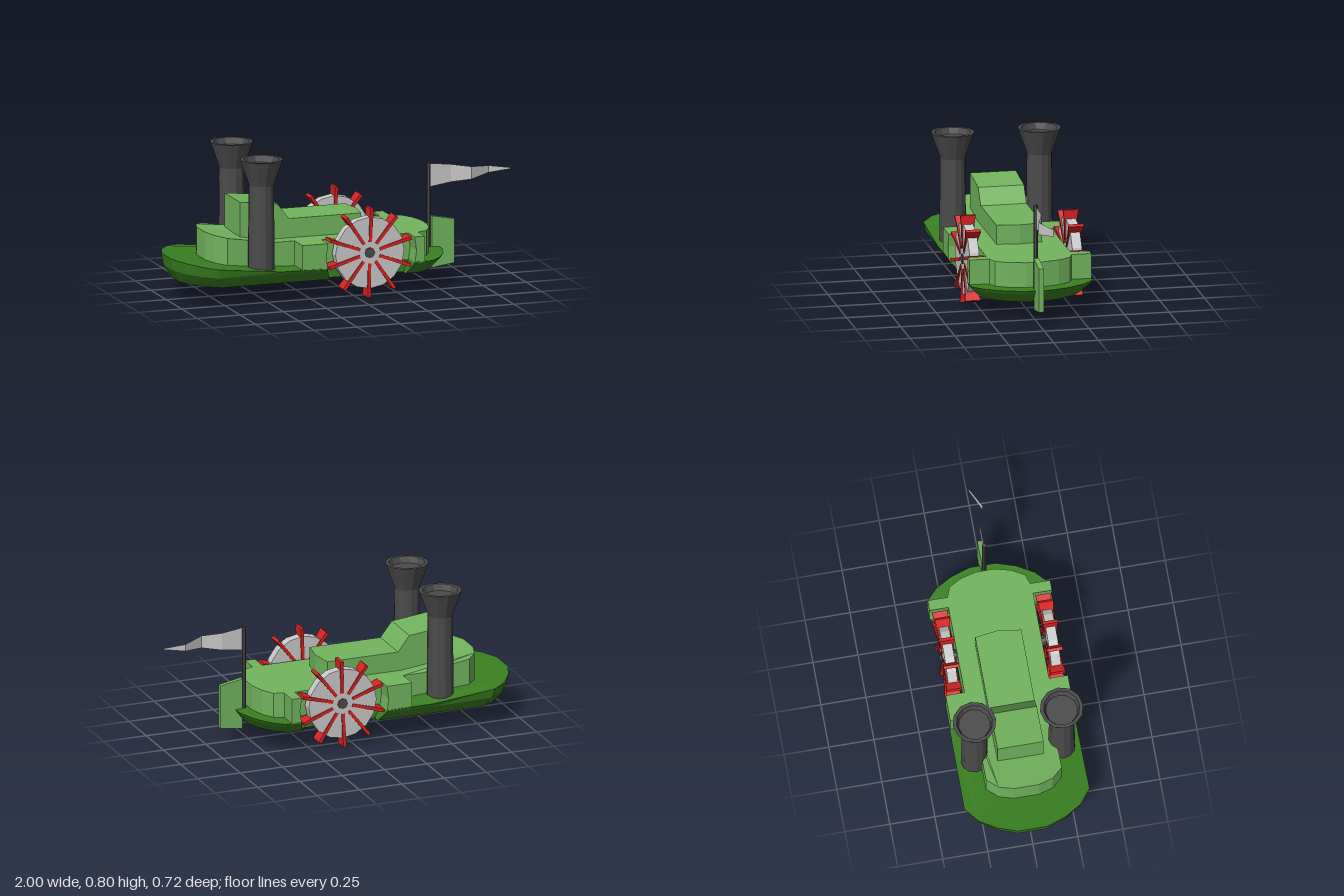
import * as THREE from 'three';

const mat = (name, color, extra = {}) =>
  new THREE.MeshStandardMaterial({ name, color, flatShading: true, ...extra });

// Wheel centre and the radius of the round recess cut for it
const WHEEL = { x: 0.07, y: 0.255, z: 0.287, recess: 0.262, inner: 0.235 };

// Where the recess begins and ends at a given height
function recessEnds(y) {
  const half = Math.sqrt(WHEEL.recess ** 2 - (y - WHEEL.y) ** 2);
  return [WHEEL.x - half, WHEEL.x + half];
}

// Recess corners on a side wall at the given half width
function recess(y, wall) {
  const [a, b] = recessEnds(y);
  return [[a, wall], [a, WHEEL.inner], [b, WHEEL.inner], [b, wall]];
}

// Half outline (bow to stern) to a full ring; height(x) gives the sheer
function ring(half, height) {
  const full = [...half, ...half.slice().reverse().map(([x, z]) => [x, -z])];
  return full.map(([x, z]) => new THREE.Vector3(x, height(x), z));
}

// Joins rings from the bottom up and caps both ends
function loft(rings) {
  const n = rings[0].length;
  const pos = [];
  const tri = (...pts) => pts.forEach((p) => pos.push(p.x, p.y, p.z));
  for (let k = 0; k < rings.length - 1; k++) {
    for (let i = 0; i < n; i++) {
      const j = (i + 1) % n;
      const a = rings[k], b = rings[k + 1];
      tri(a[i], a[j], b[j]);
      tri(a[i], b[j], b[i]);
    }
  }
  const cap = (r, up) => {
    const flat = r.map((p) => new THREE.Vector2(p.x, -p.z));
    for (const [a, b, c] of THREE.ShapeUtils.triangulateShape(flat, [])) {
      if (up) tri(r[a], r[b], r[c]);
      else tri(r[a], r[c], r[b]);
    }
  };
  cap(rings[0], false);
  cap(rings[rings.length - 1], true);
  const g = new THREE.BufferGeometry();
  g.setAttribute('position', new THREE.Float32BufferAttribute(pos, 3));
  g.computeVertexNormals();
  return g;
}

// Flat polygon extruded evenly about z = 0
function plate(points, depth, steps = 1) {
  const shape = new THREE.Shape(points.map(([x, y]) => new THREE.Vector2(x, y)));
  return new THREE.ExtrudeGeometry(shape, { depth, steps, bevelEnabled: false })
    .translate(0, 0, -depth / 2);
}

export function createModel() {
  const darkGreen = mat('hull green', 0x3a8021);
  const lightGreen = mat('deck green', 0x72b45e);
  const charcoal = mat('charcoal', 0x4b4b4b);
  const red = mat('paddle red', 0xd82222);
  const grey = mat('light grey', 0xc9c9c9, { side: THREE.DoubleSide });

  const model = new THREE.Group();
  model.name = 'paddleSteamer';
  const add = (parent, name, geometry, material) => {
    const mesh = new THREE.Mesh(geometry, material);
    mesh.name = name;
    parent.add(mesh);
    return mesh;
  };

  // Hull: three levels, drawn in toward the keel and rising at the bow
  const bow = [[-1, 0.08], [-0.96, 0.19], [-0.9, 0.285], [-0.815, 0.348], [-0.45, 0.345]];
  const stern = [[0.42, 0.34], [0.49, 0.275], [0.545, 0.18], [0.58, 0.07]];
  const hullRing = (y, sx, sz, rise) => {
    const fit = ([x, z]) => [-0.21 + (x + 0.21) * sx, z * sz];
    const half = [...bow.map(fit), ...recess(y, 0.342 * sz), ...stern.map(fit)];
    return ring(half, (x) => y + Math.max(0, -0.42 - x) * rise);
  };
  add(model, 'hull', loft([
    hullRing(0.115, 0.93, 0.81, 0),
    hullRing(0.17, 0.985, 0.965, 0.025),
    hullRing(0.19, 1, 1, 0.105),
  ]), darkGreen);

  // Deckhouse: narrow at both ends, wide around the wheel recesses
  const deckRing = (y, rise) => ring([
    [-0.8, 0.07], [-0.775, 0.15], [-0.72, 0.21], [-0.45, 0.21], [-0.33, 0.21], [-0.33, 0.34],
    ...recess(y, 0.34),
    [0.38, 0.34], [0.38, 0.23], [0.435, 0.21], [0.475, 0.14], [0.498, 0.05],
  ], (x) => y + Math.max(0, -0.45 - x) * rise);
  add(model, 'deckhouse', loft([
    deckRing(0.185, 0.08), deckRing(0.255, 0.12), deckRing(0.33, 0.157),
  ]), lightGreen);

  // Cabin: stepped side profile with a bowed rear wall
  const cabin = plate([
    [-0.617, 0.32], [0.085, 0.32], [0.085, 0.438], [-0.333, 0.438], [-0.4, 0.525], [-0.617, 0.55],
  ], 0.256, 2);
  const p = cabin.attributes.position;
  for (let i = 0; i < p.count; i++) {
    if (p.getX(i) > 0 && Math.abs(p.getZ(i)) < 0.01) p.setX(i, 0.103);
  }
  add(model, 'cabin', cabin, lightGreen);

  // Funnels with flared tops
  const funnelProfile = [
    [0, 0.185], [0.075, 0.185], [0.07, 0.668], [0.12, 0.81], [0.1, 0.81], [0.088, 0.775], [0, 0.775],
  ].map(([r, y]) => new THREE.Vector2(r, y));
  for (const s of [1, -1]) {
    const funnel = add(model, s > 0 ? 'leftFunnel' : 'rightFunnel',
      new THREE.LatheGeometry(funnelProfile, 12), charcoal);
    funnel.position.set(-0.535, 0, s * 0.242);
  }

  // Paddle wheels: disc, hub and ten flared blades
  const blade = plate([
    [0.06, -0.031], [0.2, -0.037], [0.248, -0.043], [0.248, 0.043], [0.2, 0.037], [0.06, 0.031],
  ], 0.018).rotateX(Math.PI / 2);
  for (const s of [1, -1]) {
    const wheel = new THREE.Group();
    wheel.name = s > 0 ? 'leftPaddleWheel' : 'rightPaddleWheel';
    wheel.position.set(WHEEL.x, WHEEL.y, s * WHEEL.z);
    add(wheel, 'wheelDisc',
      new THREE.CylinderGeometry(0.2, 0.2, 0.054, 16).rotateX(Math.PI / 2), grey);
    add(wheel, 'axle',
      new THREE.CylinderGeometry(0.03, 0.03, 0.09, 8).rotateX(Math.PI / 2), charcoal)
      .position.z = -s * 0.013;
    for (let i = 0; i < 10; i++) {
      add(wheel, 'blade', blade, red).rotation.z = THREE.MathUtils.degToRad(88 - i * 36);
    }
    model.add(wheel);
  }

  // Rudder
  add(model, 'rudder',
    plate([[0.538, 0.073], [0.67, 0.092], [0.67, 0.338], [0.538, 0.363]], 0.028), lightGreen);

  // Flagpole and waving pennant
  add(model, 'flagpole', new THREE.CylinderGeometry(0.012, 0.012, 0.475, 8), charcoal)
    .position.set(0.524, 0.4225, 0);
  const waves = [[0.53, 0], [0.655, -0.003], [0.762, 0.034], [0.88, -0.024], [1, 0]];
  const flag = new THREE.PlaneGeometry(1, 1, waves.length - 1, 1);
  const f = flag.attributes.position;
  for (let i = 0; i < f.count; i++) {
    const [x, z] = waves[i % waves.length];
    const t = (x - 0.53) / 0.47;
    const edge = i < waves.length ? 0.656 : 0.524;
    f.setXYZ(i, x, THREE.MathUtils.lerp(edge, i < waves.length ? 0.597 : 0.59, t), z);
  }
  flag.computeVertexNormals();
  add(model, 'pennant', flag, grey);

  return model;
}
